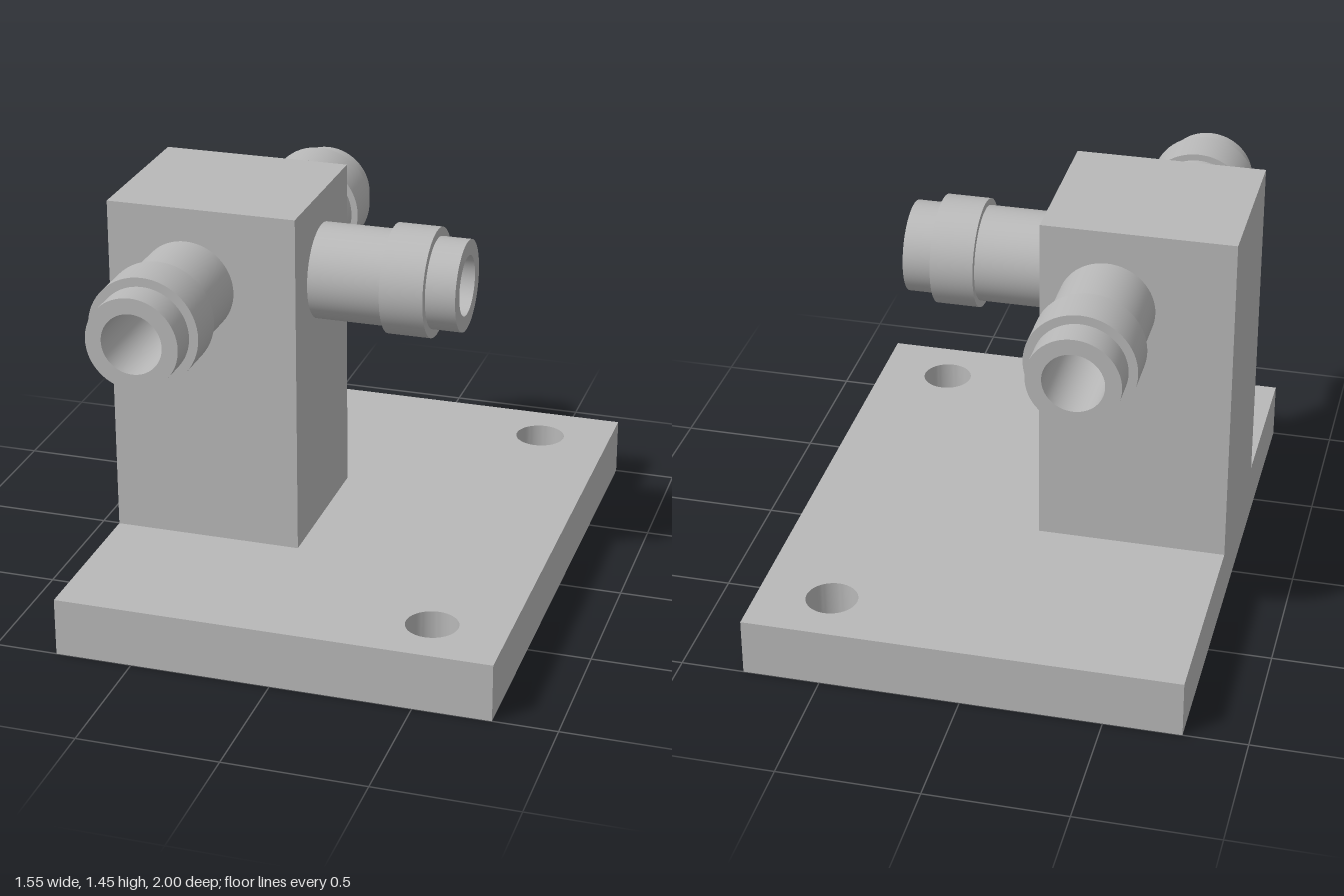
import * as THREE from 'three';
import { toCreasedNormals } from 'three/addons/utils/BufferGeometryUtils.js';

const BORE = 0.107, PORT_Y = 1.16;

// Rectangle centred on the origin with round holes [x, y, radius]
function plateShape(w, h, holes = []) {
  const s = new THREE.Shape([
    new THREE.Vector2(-w / 2, -h / 2), new THREE.Vector2(w / 2, -h / 2),
    new THREE.Vector2(w / 2, h / 2), new THREE.Vector2(-w / 2, h / 2),
  ]);
  for (const [x, y, r] of holes) s.holes.push(new THREE.Path().absarc(x, y, r, 0, Math.PI * 2, true));
  return s;
}

// Stepped hollow fitting along +y from the block face; the bore runs on into the block
function fittingGeometry(depth, blind) {
  const profile = [
    [0.171, 0], [0.171, 0.265], [0.195, 0.265], [0.195, 0.42],
    [0.163, 0.42], [0.163, 0.527], [BORE, 0.527], [BORE, -depth],
  ];
  if (blind) profile.push([0, -depth]);
  const points = profile.map(([r, y]) => new THREE.Vector2(r, y));
  return toCreasedNormals(new THREE.LatheGeometry(points, 64), 0.6);
}

export function createModel() {
  const model = new THREE.Group();
  model.name = 'manifoldBlock';
  const grey = new THREE.MeshStandardMaterial({ color: 0xb8b8b8 });
  grey.name = 'grey';

  const add = (parent, name, geometry) => {
    const mesh = new THREE.Mesh(geometry, grey);
    mesh.name = name;
    parent.add(mesh);
    return mesh;
  };

  // Base plate with two bolt holes
  const base = new THREE.ExtrudeGeometry(
    plateShape(1.55, 2, [[0.51, 0.79, 0.092], [0.51, -0.79, 0.092]]),
    { depth: 0.21, bevelEnabled: false, curveSegments: 32 });
  base.rotateX(-Math.PI / 2);
  add(model, 'basePlate', toCreasedNormals(base, 0.6));

  // Upright block: walls opened where the ports enter
  const block = new THREE.Group();
  block.name = 'block';
  model.add(block);
  const W = 0.68, H = 1.24, D = 0.6, cx = -0.435, cy = 0.83, cz = 0.09;
  block.position.set(cx, cy, cz);
  const py = PORT_Y - cy;
  const wall = (name, w, h, holes, pos, rx, ry) => {
    const m = add(block, name, new THREE.ShapeGeometry(plateShape(w, h, holes), 32));
    m.position.set(...pos);
    m.rotation.set(rx, ry, 0);
  };
  wall('frontWall', W, H, [[-0.055, py, 0.14]], [0, 0, D / 2], 0, 0);
  wall('backWall', W, H, [[-0.105, py, 0.14]], [0, 0, -D / 2], 0, Math.PI);
  wall('leftWall', D, H, [[0, py, 0.14]], [W / 2, 0, 0], 0, Math.PI / 2);
  wall('rightWall', D, H, [], [-W / 2, 0, 0], 0, -Math.PI / 2);
  wall('topWall', W, D, [], [0, H / 2, 0], -Math.PI / 2, 0);

  // Three fittings; the front and back bores meet off-centre inside the block
  const through = fittingGeometry(0.3, false);
  const front = add(model, 'frontFitting', through);
  front.position.set(-0.49, PORT_Y, 0.39);
  front.rotation.x = Math.PI / 2;
  const back = add(model, 'backFitting', through);
  back.position.set(-0.33, PORT_Y, -0.21);
  back.rotation.x = -Math.PI / 2;
  const side = add(model, 'sideFitting', fittingGeometry(0.125, true));
  side.position.set(-0.095, PORT_Y, 0.09);
  side.rotation.z = -Math.PI / 2;

  // Crescent shoulders at the bore ends, leaving the overlap open
  const a = Math.acos(0.08 / BORE);
  const crescent = new THREE.Shape();
  crescent.absarc(-0.08, 0, BORE, a, Math.PI * 2 - a, false);
  crescent.absarc(0.08, 0, BORE, Math.PI + a, Math.PI - a, true);
  const shoulder = new THREE.ShapeGeometry(crescent, 32);
  for (const [name, turn] of [['frontBoreShoulder', 0], ['backBoreShoulder', Math.PI]]) {
    const m = add(model, name, shoulder);
    m.position.set(-0.41, PORT_Y, 0.09);
    m.rotation.y = turn;
  }

  return model;
}
